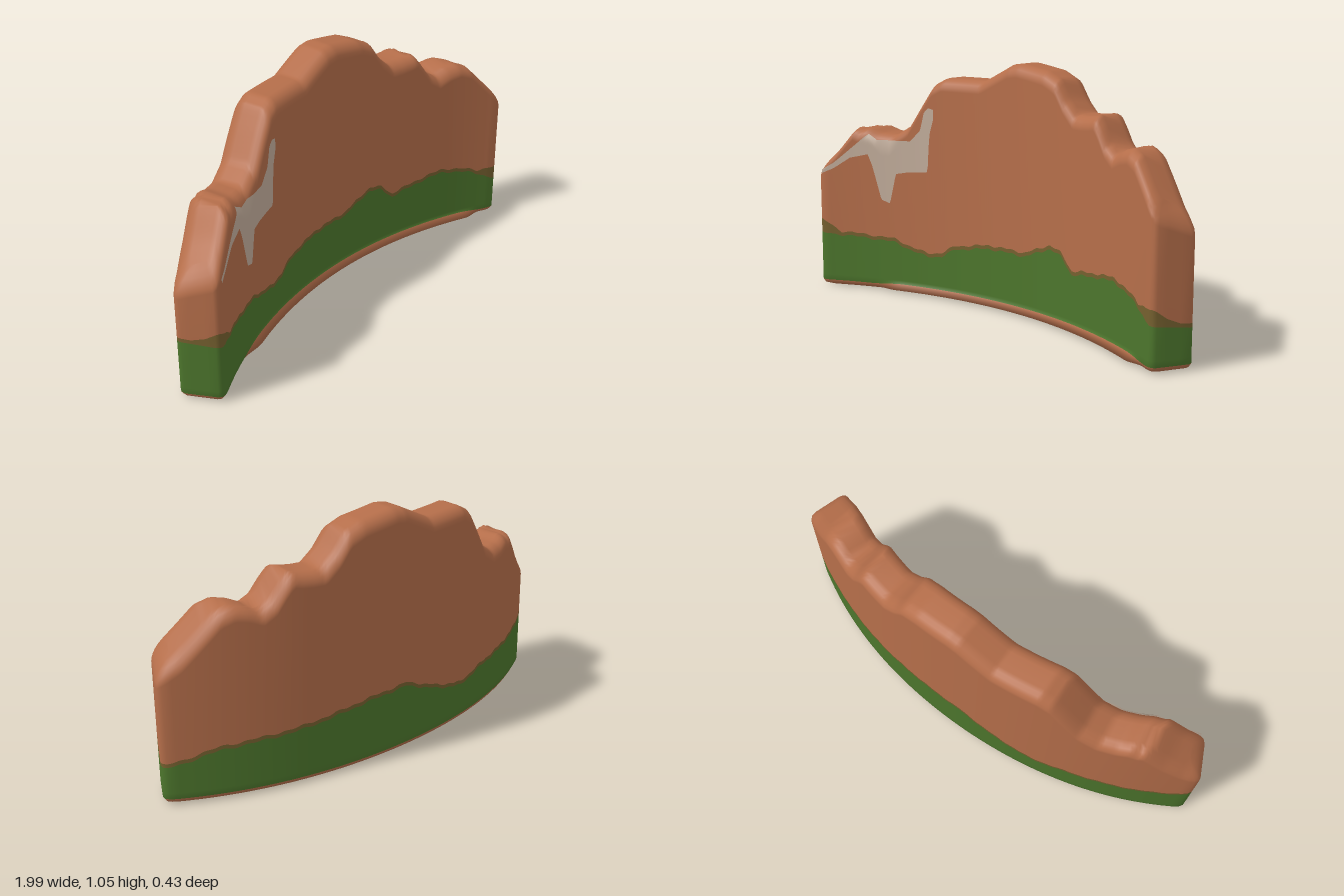
import * as THREE from 'three';

const material = (name, color, side = THREE.FrontSide) => {
  const m = new THREE.MeshStandardMaterial({ color, side });
  m.name = name;
  return m;
};
const { clamp, smoothstep } = THREE.MathUtils;

// Straight-line lookup in a list of [x, y] points
function lookup(points, x) {
  if (x <= points[0][0]) return points[0][1];
  for (let i = 1; i < points.length; i++) {
    const [x0, y0] = points[i - 1], [x1, y1] = points[i];
    if (x <= x1) return y0 + (y1 - y0) * (x - x0) / (x1 - x0);
  }
  return points[points.length - 1][1];
}

// Height of the ragged crest
const crest = [[-1, 0.5], [-0.93, 0.55], [-0.85, 0.635], [-0.79, 0.715], [-0.77, 0.737], [-0.755, 0.725],
  [-0.72, 0.735], [-0.67, 0.715], [-0.6, 0.71], [-0.52, 0.76], [-0.45, 0.87], [-0.4, 0.945], [-0.35, 0.97],
  [-0.15, 0.97], [-0.07, 1.01], [0, 1.045], [0.05, 1.052], [0.2, 1.03], [0.27, 1], [0.32, 0.93],
  [0.38, 0.875], [0.43, 0.875], [0.48, 0.88], [0.51, 0.887], [0.54, 0.85], [0.58, 0.79], [0.63, 0.757],
  [0.68, 0.78], [0.73, 0.79], [0.78, 0.77], [0.85, 0.69], [0.92, 0.61], [1, 0.55]];

// Upper edge of the moss on the front and the back
const mossFront = [[-1, 0.25], [-0.93, 0.25], [-0.75, 0.24], [-0.58, 0.23], [-0.5, 0.2], [-0.42, 0.18],
  [-0.35, 0.19], [-0.28, 0.23], [-0.1, 0.26], [0.1, 0.26], [0.25, 0.32], [0.32, 0.3], [0.38, 0.24],
  [0.5, 0.26], [0.65, 0.28], [0.8, 0.24], [0.9, 0.18]];
const mossBack = [[-1, 0.26], [-0.8, 0.22], [-0.5, 0.2], [-0.35, 0.17], [-0.2, 0.21], [0, 0.29],
  [0.2, 0.28], [0.5, 0.24], [0.8, 0.22], [1, 0.16]];

const ROUND = 0.055; // radius of the crest's edge
const crestHeight = (x) => lookup(crest, x);
const mossHeight = (u, v) => {
  const t = (v + 1) / 2;
  return lookup(mossBack, u) * (1 - t) + lookup(mossFront, u * 0.91) * t + 0.006 * Math.sin(u * 61) * Math.sin(u * 23);
};
// The faded rim of the moss widens at the front corners
const rimHeight = (u, v) => mossHeight(u, v) + 0.016 + 0.055 * clamp((Math.abs(u) - 0.9) / 0.1, 0, 1) * Math.max(v, 0);
// The foot juts out along the hollow front
const foot = (u, v) => (v < 1 ? 0 : smoothstep(u, -0.76, -0.6) * (1 - smoothstep(u, 0.82, 0.94)));

// Plan of the bent wall: u runs along it, v goes from back (-1) to front (1)
function plan(u, v) {
  const xb = u * 1.005, xf = u * 0.92;
  const zb = -0.212 + 0.224 * xb ** 2 + 0.048 * xb ** 4;
  const zf = -0.03 + 0.28 * xf ** 2 + 0.02 * xf ** 4;
  const t = (v + 1) / 2;
  return [xb + (xf - xb) * t, zb + (zf - zb) * t];
}
const insetPlan = (u, v, d) => plan(u * (1 - d), v * (1 - d / 0.09));

// Closed wall: stacked rings following the plan outline
function wallGeometry() {
  const half = [[-1, 0.3], [-1, 0.72], [-0.994, 0.89], [-0.98, 0.97], [-0.96, 1]];
  const corner = half.map(([u, v]) => [-u, v]).reverse();
  const columns = 160;
  for (let i = 1; i < columns; i++) half.push([-0.96 + 1.92 * i / columns, 1]);
  half.push(...corner);
  const loop = [...half, ...half.map(([u, v]) => [u, -v]).reverse()];
  const count = loop.length;

  // Each ring gives a height and an inset; each band above it has a material index
  const flush = () => 0;
  const rings = [
    [() => 0.004, () => 0.03],
    [() => 0.014, (u, v) => 0.008 - 0.028 * foot(u, v)],
    [(u, v) => 0.03 + 0.008 * foot(u, v), flush],
    [() => 0.055, flush],
    [(x, u, v) => mossHeight(u, v), flush],
    [(x, u, v) => rimHeight(u, v), flush],
    [(x) => crestHeight(x) - ROUND, flush],
  ];
  rings[2][0] = (x, u, v) => 0.03 + 0.008 * foot(u, v);
  for (let i = 1; i <= 5; i++) {
    const a = i / 5 * Math.PI / 2;
    rings.push([(x) => crestHeight(x) - ROUND * (1 - Math.sin(a)), () => ROUND * (1 - Math.cos(a))]);
  }
  const bandMaterial = [0, 0, 1, 1, 2, 0, 0, 0, 0, 0, 0];

  const position = [], index = [];
  for (const [height, inset] of rings) {
    for (const [u, v] of loop) {
      const [x, z] = insetPlan(u, v, inset(u, v));
      position.push(x, height(x, u, v), z);
    }
  }
  const geometry = new THREE.BufferGeometry();
  const quad = (a, b, c, d) => index.push(a, b, c, a, c, d);
  const addGroup = (start, mat) => geometry.addGroup(start, index.length - start, mat);

  for (let r = 0; r < rings.length - 1; r++) {
    const start = index.length;
    for (let k = 0; k < count; k++) {
      const n = (k + 1) % count;
      quad(r * count + k, r * count + n, (r + 1) * count + n, (r + 1) * count + k);
    }
    addGroup(start, bandMaterial[r]);
  }
  // Crest and underside, bridged from front to back
  const start = index.length, top = (rings.length - 1) * count;
  for (let k = 0; k < half.length - 1; k++) {
    const far = count - 1 - k;
    quad(top + k, top + k + 1, top + far - 1, top + far);
    quad(k, far, far - 1, k + 1);
  }
  addGroup(start, 0);

  geometry.setAttribute('position', new THREE.Float32BufferAttribute(position, 3));
  geometry.setIndex(index);
  geometry.computeVertexNormals();
  return geometry;
}

// Pale patch lying just over the front face
function patchGeometry() {
  const upper = [[-0.94, 0.515], [-0.85, 0.575], [-0.75, 0.665], [-0.7, 0.71], [-0.66, 0.685], [-0.5, 0.69],
    [-0.45, 0.74], [-0.43, 0.82], [-0.41, 0.84], [-0.385, 0.835]];
  const lower = [[-0.94, 0.505], [-0.85, 0.55], [-0.78, 0.6], [-0.7, 0.62], [-0.68, 0.57], [-0.64, 0.42],
    [-0.6, 0.405], [-0.57, 0.54], [-0.52, 0.55], [-0.415, 0.56], [-0.405, 0.72], [-0.385, 0.79]];
  const columns = 90, rows = 8, position = [], index = [];
  for (let i = 0; i <= columns; i++) {
    const x = -0.9 + 0.515 * i / columns;
    const lo = lookup(lower, x), hi = lookup(upper, x);
    for (let j = 0; j <= rows; j++) {
      const y = lo + (hi - lo) * j / rows;
      const d = clamp(y - crestHeight(x) + ROUND, 0, ROUND * 0.97);
      const inset = ROUND - Math.sqrt(ROUND * ROUND - d * d);
      const [px, pz] = plan(x / 0.92, 1 - inset / 0.09);
      position.push(px, y, pz + 0.007);
      if (i < columns && j < rows) {
        const a = i * (rows + 1) + j, b = a + rows + 1;
        index.push(a, b, b + 1, a, b + 1, a + 1);
      }
    }
  }
  const geometry = new THREE.BufferGeometry();
  geometry.setAttribute('position', new THREE.Float32BufferAttribute(position, 3));
  geometry.setIndex(index);
  geometry.computeVertexNormals();
  return geometry;
}

export function createModel() {
  const clay = material('clay', 0xb56e4a);
  const moss = material('moss', 0x4c752c);
  const mossEdge = material('moss edge', 0x75602f);
  const pale = material('pale stone', 0xc2ad9b, THREE.DoubleSide);

  const model = new THREE.Group();
  model.name = 'curvedRockWall';

  const wall = new THREE.Mesh(wallGeometry(), [clay, moss, mossEdge]);
  wall.name = 'wall';
  const patch = new THREE.Mesh(patchGeometry(), pale);
  patch.name = 'palePatch';
  model.add(wall, patch);
  return model;
}
